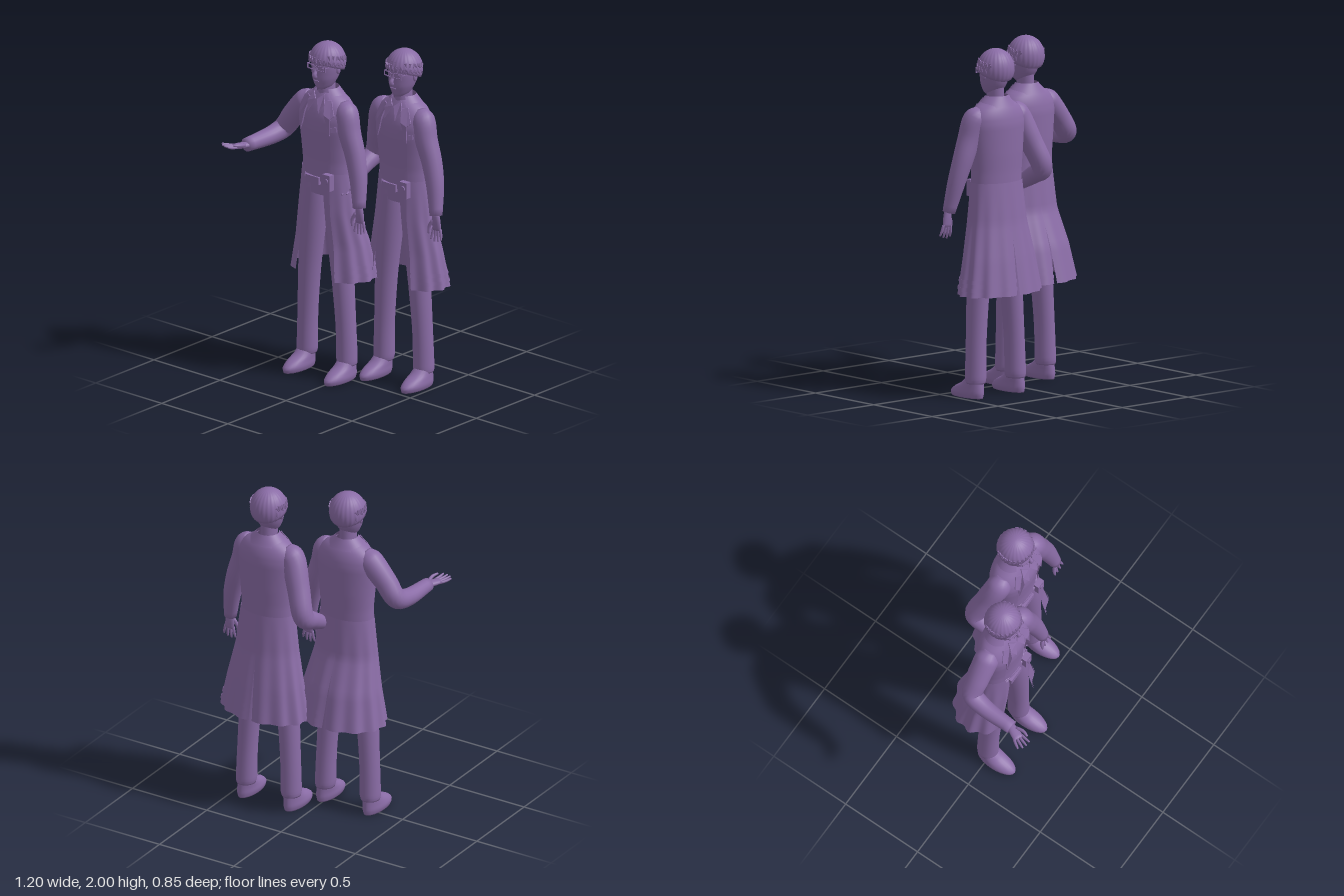
import * as THREE from 'three';
import { mergeVertices } from 'three/addons/utils/BufferGeometryUtils.js';

const PI = Math.PI;

// Smooth grid surface from a rule f(u, v) -> [x, y, z]
function surface(f, nu, nv) {
  const pos = [], idx = [];
  for (let j = 0; j <= nv; j++) for (let i = 0; i <= nu; i++) pos.push(...f(i / nu, j / nv));
  for (let j = 0; j < nv; j++) for (let i = 0; i < nu; i++) {
    const a = j * (nu + 1) + i, b = a + nu + 1;
    idx.push(a, a + 1, b + 1, a, b + 1, b);
  }
  let g = new THREE.BufferGeometry();
  g.setAttribute('position', new THREE.Float32BufferAttribute(pos, 3));
  g.setIndex(idx);
  g = mergeVertices(g, 1e-5);
  g.computeVertexNormals();
  return g;
}

// Closed tapering form through points [x, y, z, radius, depthRadius]; level keeps rings horizontal
function limb(points, level = false, nu = 20, nv = 24) {
  const path = new THREE.CatmullRomCurve3(points.map(p => new THREE.Vector3(p[0], p[1], p[2])));
  const size = new THREE.CatmullRomCurve3(points.map(p => new THREE.Vector3(p[3], p[4] ?? p[3], 0)));
  return surface((u, v) => {
    const k = Math.round(v * nv), s = Math.min(1, Math.max(0, (k - 1) / (nv - 2)));
    const c = path.getPoint(s), r = size.getPoint(s), open = k === 0 || k === nv ? 0 : 1;
    const t = level ? new THREE.Vector3(0, 1, 0) : path.getTangent(s);
    const side = new THREE.Vector3(1, 0, 0).addScaledVector(t, -t.x).normalize();
    const front = side.clone().cross(t);
    const a = u * 2 * PI;
    c.addScaledVector(side, open * r.x * Math.sin(a)).addScaledVector(front, open * r.y * Math.cos(a));
    return [c.x, c.y, c.z];
  }, nu, nv);
}

// Linear lookup in a table sorted by its first column
function lookup(table, y) {
  let i = 0;
  while (i < table.length - 2 && y > table[i + 1][0]) i++;
  const a = table[i], b = table[i + 1];
  const t = Math.min(1, Math.max(0, (y - a[0]) / (b[0] - a[0])));
  return a.map((n, k) => n + (b[k] - n) * t);
}

// Torso sections: height, half width, half depth, centre z
const BODY = [
  [1.1, 0.14, 0.09, -0.015], [1.2, 0.157, 0.098, -0.02], [1.3, 0.157, 0.1, -0.02], [1.4, 0.165, 0.107, -0.018],
  [1.5, 0.175, 0.113, -0.014], [1.57, 0.18, 0.113, -0.015], [1.62, 0.172, 0.103, -0.018],
  [1.66, 0.145, 0.088, -0.02], [1.69, 0.105, 0.072, -0.02], [1.71, 0.065, 0.06, -0.018],
];
const bodyZ = (x, y) => {
  const [, rx, rz, cz] = lookup(BODY, y);
  return cz + rz * Math.sqrt(Math.max(0, 1 - (x / rx) ** 2));
};
function bodyShell(y0, y1, a0, grow) {
  return surface((u, v) => {
    const y = y0 + (y1 - y0) * v, [, rx, rz, cz] = lookup(BODY, y), a = a0 + (2 * PI - 2 * a0) * u;
    return [(rx + grow) * Math.sin(a), y, cz + (rz + grow) * Math.cos(a)];
  }, 40, 26);
}

// Half of the flared, pleated coat skirt; s is the side, back the reach behind
function skirtHalf(s, back, y0, y1, grow = 0) {
  const hemDepth = (back + 0.118) / 2, hemZ = 0.118 - hemDepth;
  const rows = [[0.6, 0.272, hemDepth, hemZ], [0.8, 0.236, 0.04 + hemDepth * 0.62, hemZ * 0.75 - 0.005],
    [1.0, 0.195, 0.125, -0.025], [1.24, 0.168, 0.108, -0.02]];
  return surface((u, v) => {
    const y = y0 + (y1 - y0) * v, [, rx, rz, cz] = lookup(rows, y);
    const low = Math.max(0, (1.24 - y) / 0.64), slit = y < 0.92 ? (0.92 - y) * 0.13 : 0;
    const a = 0.56 + (PI - slit - 0.56) * u;
    const k = 1 + low * 0.035 * Math.cos(a * 13);
    return [s * (rx * k + grow) * Math.sin(a), y, cz + (rz * k + grow) * Math.cos(a)];
  }, 64, 22);
}

// Flat cloth piece laid on the chest
function plate(points, lift) {
  const g = new THREE.ExtrudeGeometry(new THREE.Shape(points.map(p => new THREE.Vector2(...p))),
    { depth: 0.006, bevelEnabled: false });
  const p = g.attributes.position;
  for (let i = 0; i < p.count; i++) p.setZ(i, p.getZ(i) + bodyZ(p.getX(i), p.getY(i)) + lift);
  g.computeVertexNormals();
  return g;
}

export function createModel() {
  const purple = new THREE.MeshStandardMaterial({ color: 0x8a6ca6, side: THREE.DoubleSide });
  purple.name = 'purple';
  const add = (parent, name, geo, x = 0, y = 0, z = 0) => {
    const m = new THREE.Mesh(geo, purple);
    m.name = name;
    m.position.set(x, y, z);
    parent.add(m);
    return m;
  };

  function hand(side) {
    const g = new THREE.Group();
    g.name = 'hand';
    add(g, 'palm', limb([[0, 0.02, 0, 0.022, 0.017], [0, -0.03, 0, 0.029, 0.017], [0, -0.08, 0, 0.031, 0.012]], false, 12, 8));
    for (let i = 0; i < 4; i++) {
      const x = (i - 1.5) * 0.017, len = 0.07 - Math.abs(i - 1.4) * 0.01;
      add(g, 'finger', limb([[x, -0.07, 0, 0.0085], [x * 1.3, -0.08 - len / 2, 0.004, 0.008], [x * 1.5, -0.08 - len, 0.012, 0.005]], false, 8, 8));
    }
    add(g, 'thumb', limb([[side * 0.02, -0.02, 0.006, 0.011], [side * 0.042, -0.06, 0.016, 0.01], [side * 0.045, -0.1, 0.02, 0.006]], false, 8, 8));
    return g;
  }

  function head(parent) {
    const g = new THREE.Group();
    g.name = 'head';
    parent.add(g);
    add(g, 'neck', limb([[0, 1.64, -0.015, 0.052, 0.058], [0, 1.7, -0.01, 0.046, 0.056], [0, 1.8, -0.01, 0.047, 0.055]], true));
    add(g, 'face', limb([[0, 1.732, 0.03, 0.025, 0.03], [0, 1.75, 0.014, 0.05, 0.056], [0, 1.8, 0.002, 0.074, 0.08],
      [0, 1.87, -0.008, 0.087, 0.089], [0, 1.94, -0.012, 0.086, 0.09], [0, 1.975, -0.012, 0.05, 0.05]], true, 28));
    // Ridged cap of hair, lower at the back and tucked in below
    add(g, 'hair', surface((u, v) => {
      const a = u * 2 * PI, low = 0.1 - 0.7 * (1 - Math.cos(a)) / 2;
      const t = Math.max(0, (v - 0.08) / 0.92), lat = low + (PI / 2 - low) * t;
      const r = v === 0 ? 0.78 * Math.cos(low) : Math.cos(lat) * (1 + 0.012 * Math.cos(a * 24));
      return [0.106 * r * Math.sin(a), 1.884 + 0.116 * Math.sin(lat), -0.015 + 0.107 * r * Math.cos(a)];
    }, 96, 13));
    // Short tufts around the brow and temples
    const tuft = new THREE.ConeGeometry(0.009, 0.03, 5);
    for (let i = 0; i < 66; i++) {
      const a = -2.1 + 4.2 * ((i * 0.618) % 1), lat = 0.08 - 0.12 * (1 - Math.cos(a)) + 0.36 * ((i * 0.377) % 1);
      const m = add(g, 'tuft', tuft, 0.106 * Math.cos(lat) * Math.sin(a), 1.884 + 0.116 * Math.sin(lat),
        -0.015 + 0.107 * Math.cos(lat) * Math.cos(a));
      m.rotation.set(PI - 0.35, a, Math.sin(i * 7) * 0.7, 'YXZ');
    }
    add(g, 'nose', limb([[0, 1.87, 0.076, 0.007], [0, 1.845, 0.087, 0.01], [0, 1.822, 0.098, 0.014], [0, 1.81, 0.085, 0.01]], false, 10, 10));
    add(g, 'mouth', new THREE.BoxGeometry(0.036, 0.005, 0.008), 0, 1.787, 0.081);
    // Spectacles
    const rim = new THREE.Shape([[-0.03, -0.016], [0.03, -0.016], [0.03, 0.016], [-0.03, 0.016]].map(p => new THREE.Vector2(...p)));
    rim.holes.push(new THREE.Path([[-0.025, -0.011], [-0.025, 0.011], [0.025, 0.011], [0.025, -0.011]].map(p => new THREE.Vector2(...p))));
    const rimGeo = new THREE.ExtrudeGeometry(rim, { depth: 0.005, bevelEnabled: false });
    add(g, 'spectacleBridge', new THREE.BoxGeometry(0.016, 0.004, 0.005), 0, 1.875, 0.092);
    for (const s of [-1, 1]) {
      add(g, 'spectacleRim', rimGeo, s * 0.037, 1.868, 0.084).rotation.y = s * 0.18;
      add(g, 'spectacleArm', new THREE.BoxGeometry(0.004, 0.005, 0.09), s * 0.079, 1.876, 0.04).rotation.y = s * -0.3;
      add(g, 'eye', new THREE.SphereGeometry(0.011, 12, 8), s * 0.035, 1.867, 0.066);
      add(g, 'ear', new THREE.SphereGeometry(0.02, 12, 10), s * 0.087, 1.85, -0.01).scale.set(0.5, 1.3, 0.8);
    }
  }

  function person(name, back, rightArm, handTurn) {
    const p = new THREE.Group();
    p.name = name;
    head(p);
    add(p, 'waistcoat', bodyShell(1.1, 1.71, 0, 0));
    add(p, 'coatBody', bodyShell(1.2, 1.7, 0.62, 0.009));
    add(p, 'belt', bodyShell(1.185, 1.225, 0, 0.007));
    add(p, 'buckle', new THREE.BoxGeometry(0.1, 0.045, 0.02), -0.02, 1.188, 0.086);
    add(p, 'pouch', new THREE.BoxGeometry(0.055, 0.095, 0.035), 0.092, 1.195, 0.084);
    add(p, 'pouchButton', new THREE.CylinderGeometry(0.016, 0.016, 0.008, 16), 0.092, 1.205, 0.104).rotation.x = PI / 2;
    add(p, 'chestPocket', plate([[0.115, 1.5], [0.14, 1.505], [0.14, 1.535], [0.115, 1.53]], 0.012));
    // Turned-up coat collar around the back of the neck
    add(p, 'coatCollar', surface((u, v) => {
      const a = 0.7 + (2 * PI - 1.4) * u, r = 0.125 - 0.06 * v;
      return [r * Math.sin(a), 1.672 + 0.06 * v, -0.022 + (0.092 - 0.03 * v) * Math.cos(a)];
    }, 32, 4));
    for (const s of [-1, 1]) {
      const flip = pts => pts.map(([x, y]) => [s * x, y]);
      add(p, 'shirtCollar', plate(flip([[0.006, 1.68], [0.04, 1.71], [0.062, 1.66], [0.04, 1.605]]), 0.02));
      add(p, 'lapel', plate(flip([[0.055, 1.675], [0.088, 1.68], [0.128, 1.6], [0.11, 1.58], [0.108, 1.48], [0.072, 1.6]]), 0.014));
      add(p, 'coatSkirt', skirtHalf(s, back, 0.6, 1.24, 0.002));
      add(p, 'trouserLeg', limb([[s * 0.152, 0.085, -0.012, 0.055, 0.06], [s * 0.15, 0.12, -0.012, 0.06, 0.064],
        [s * 0.145, 0.3, -0.01, 0.058, 0.062], [s * 0.126, 0.6, -0.005, 0.064, 0.068],
        [s * 0.1, 0.9, -0.005, 0.077, 0.08], [s * 0.08, 1.1, -0.012, 0.079, 0.088], [s * 0.075, 1.21, -0.015, 0.076, 0.09]], true));
      add(p, 'shoe', limb([[s * 0.156, 0, 0.052, 0.05, 0.122], [s * 0.156, 0.025, 0.052, 0.058, 0.126],
        [s * 0.155, 0.055, 0.036, 0.056, 0.108], [s * 0.153, 0.085, 0.008, 0.052, 0.076], [s * 0.152, 0.12, -0.012, 0.048, 0.054]], true, 24, 14));
    }
    // Raised bands along the hem of the left skirt panel
    for (const y of [0.63, 0.675]) add(p, 'hemBand', skirtHalf(1, back, y, y + 0.022, 0.007));
    // Hanging left arm
    add(p, 'leftSleeve', limb([[0.11, 1.645, -0.015, 0.045], [0.152, 1.6, -0.005, 0.07], [0.184, 1.5, 0.005, 0.066],
      [0.228, 1.38, 0.008, 0.06], [0.266, 1.25, 0.022, 0.052], [0.298, 1.08, 0.05, 0.037]]));
    const left = hand(-1);
    left.position.set(0.302, 1.075, 0.055);
    left.rotation.z = 0.08;
    p.add(left);
    // Bent right arm
    add(p, 'rightSleeve', limb(rightArm, false, 20, 36));
    const end = rightArm[rightArm.length - 1], right = hand(1);
    right.position.set(end[0], end[1], end[2]);
    right.rotation.set(handTurn[0], handTurn[1], 0, 'YXZ');
    p.add(right);
    return p;
  }

  const model = new THREE.Group();
  model.name = 'twoMenInCoats';
  const shoulder = [[-0.11, 1.645, -0.015, 0.045], [-0.16, 1.6, -0.015, 0.072]];
  const near = person('nearMan', 0.275, [...shoulder, [-0.25, 1.5, -0.01, 0.066], [-0.318, 1.405, 0, 0.06],
    [-0.336, 1.378, 0.08, 0.053], [-0.345, 1.372, 0.29, 0.04]], [-PI / 2 - 0.04, -0.42]);
  near.position.set(-0.14, 0, 0);
  const far = person('farMan', 0.215, [...shoulder, [-0.225, 1.45, -0.055, 0.066], [-0.285, 1.285, -0.09, 0.06],
    [-0.29, 1.24, -0.02, 0.053], [-0.285, 1.17, 0.11, 0.04]], [-PI / 2 + 0.4, 0.2]);
  far.position.set(0.265, 0, -0.2);
  model.add(near, far);
  return model;
}
